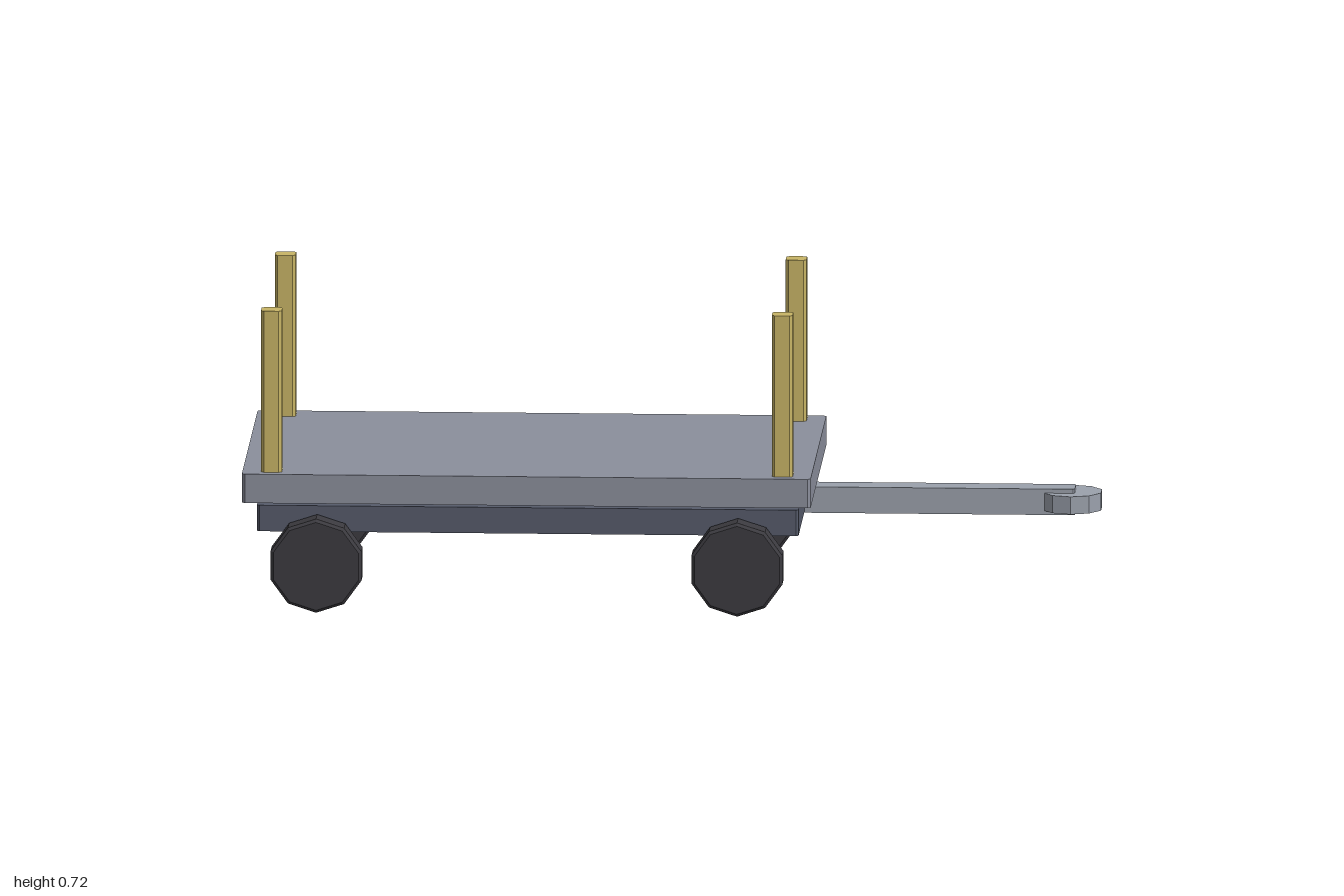
import * as THREE from 'three';

const paint = (color) => new THREE.MeshStandardMaterial({ color, flatShading: true });

// Upright block with its four vertical corners cut off
function block(name, material, x0, x1, y0, y1, halfZ, cut, z = 0) {
  const hx = (x1 - x0) / 2, s = new THREE.Shape();
  s.setFromPoints([
    [hx, -halfZ + cut], [hx, halfZ - cut], [hx - cut, halfZ], [-hx + cut, halfZ],
    [-hx, halfZ - cut], [-hx, -halfZ + cut], [-hx + cut, -halfZ], [hx - cut, -halfZ],
  ].map(([x, y]) => new THREE.Vector2(x, y)));
  const geometry = new THREE.ExtrudeGeometry(s, { depth: y1 - y0, bevelEnabled: false });
  geometry.rotateX(-Math.PI / 2);
  const mesh = new THREE.Mesh(geometry, material);
  mesh.position.set((x0 + x1) / 2, y0, z);
  mesh.name = name;
  return mesh;
}

export function createModel() {
  const model = new THREE.Group();
  model.name = 'flatbedCart';
  const deckGrey = paint(0x8b8f9c), frameGrey = paint(0x565b6b);
  const barGrey = paint(0x9ba1ac), rubber = paint(0x3c3b40), wood = paint(0xc8b566);

  // Load deck and the frame beneath it
  model.add(block('deck', deckGrey, -1, 0.335, 0.262, 0.331, 0.387, 0.007));
  model.add(block('chassis', frameGrey, -0.968, 0.303, 0.181, 0.243, 0.316, 0.006));

  // Tow bar with a ten-sided coupling at its end
  model.add(block('towBar', barGrey, 0.29, 0.938, 0.181, 0.243, 0.031, 0.004));
  const coupling = new THREE.Mesh(new THREE.CylinderGeometry(0.073, 0.073, 0.042, 10), barGrey);
  coupling.name = 'towCoupling';
  coupling.position.set(0.93, 0.212, 0);
  model.add(coupling);

  // Ten-sided wheels with chamfered rims
  const profile = [[0, -0.035], [0.105, -0.035], [0.112, -0.028], [0.112, 0.028], [0.105, 0.035], [0, 0.035]];
  const wheelGeometry = new THREE.LatheGeometry(profile.map(([r, y]) => new THREE.Vector2(r, y)), 10);
  wheelGeometry.rotateX(Math.PI / 2);

  for (const side of [-1, 1]) {
    for (const x of [-0.826, 0.162]) {
      const wheel = new THREE.Mesh(wheelGeometry, rubber);
      wheel.name = 'wheel';
      wheel.position.set(x, 0.112, side * 0.352);
      model.add(wheel);
    }
    // Corner stakes
    for (const x of [-0.932, 0.267]) {
      model.add(block('stake', wood, x - 0.0245, x + 0.0245, 0.325, 0.716, 0.0245, 0.007, side * 0.338));
    }
  }
  return model;
}
